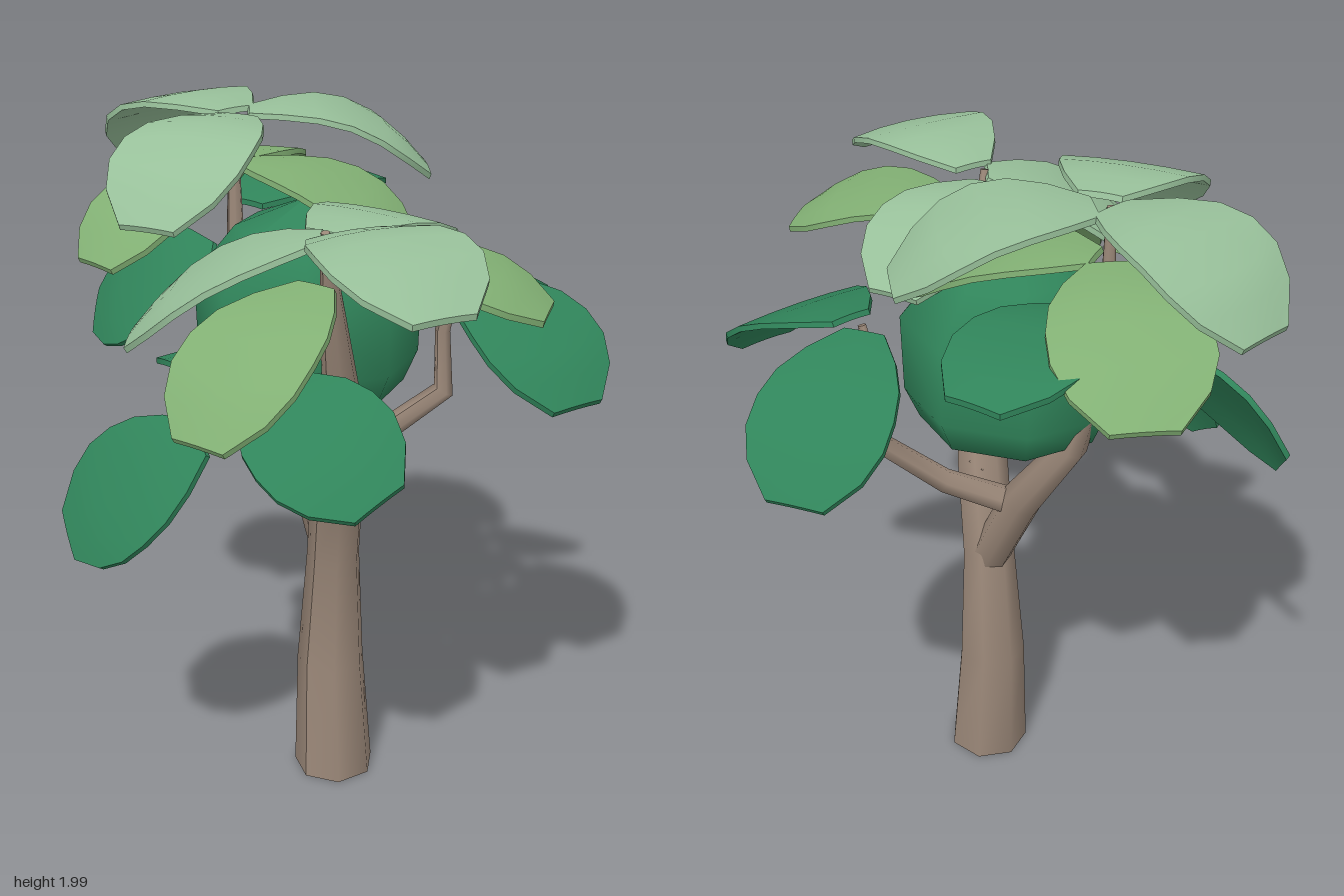
import * as THREE from 'three';

const BARK = 0x9a8778, DARK = 0x30845a, GREEN = 0x82b074, SAGE = 0x98c09a;
const UP = new THREE.Vector3(0, 1, 0);
const V = (p) => new THREE.Vector3(p[0], p[1], p[2]);

const materials = {};
function mat(color) {
  return (materials[color] ??= new THREE.MeshStandardMaterial({ color, side: THREE.DoubleSide }));
}

function add(parent, name, geometry, color) {
  const mesh = new THREE.Mesh(geometry, mat(color));
  mesh.name = name;
  parent.add(mesh);
}

// Tapered limb: rows are [x, y, z, radius] from bottom to tip
function limb(rows, sides = 7) {
  const n = rows.length - 1;
  const geo = new THREE.CylinderGeometry(1, 1, 1, sides, n);
  const pos = geo.attributes.position;
  const frames = rows.map((r, i) => {
    const dir = V(rows[Math.min(i + 1, n)]).sub(V(rows[Math.max(i - 1, 0)])).normalize();
    if (r[1] === 0) dir.copy(UP); // keep the foot flat on the ground
    return new THREE.Quaternion().setFromUnitVectors(UP, dir);
  });
  const p = new THREE.Vector3();
  for (let i = 0; i < pos.count; i++) {
    const k = Math.round((pos.getY(i) + 0.5) * n);
    p.set(pos.getX(i) * rows[k][3], 0, pos.getZ(i) * rows[k][3]);
    p.applyQuaternion(frames[k]).add(V(rows[k]));
    pos.setXYZ(i, p.x, p.y, p.z);
  }
  geo.computeVertexNormals();
  return geo;
}

// Broad rounded leaf: a thin slab narrowed at the ends and arched along its length.
// facing is the direction its upper surface is turned to.
const OUTLINE = [0.3, 0.66, 0.9, 1, 1, 0.83, 0.42];
function leaf(base, tip, width, arch, facing) {
  const steps = OUTLINE.length - 1;
  const geo = new THREE.BoxGeometry(1, 1, 1, 4, 1, steps);
  const pos = geo.attributes.position;
  const a = V(base), along = V(tip).sub(a);
  const side = V(facing).cross(along).normalize();
  const normal = along.clone().cross(side).normalize();
  const p = new THREE.Vector3();
  for (let i = 0; i < pos.count; i++) {
    const t = pos.getZ(i) + 0.5, v = pos.getX(i) * 2;
    const w = OUTLINE[Math.round(t * steps)];
    const bulge = 0.06 * (1 - v * v) * Math.sin(Math.PI * t); // rounds the two ends
    const reach = t + (t > 0.5 ? bulge : -bulge * 0.5);
    const lift = arch * Math.sin(Math.PI * t) - 0.008 * v * v * w + pos.getY(i) * 0.016;
    p.copy(a).addScaledVector(along, reach)
      .addScaledVector(side, v * w * width / 2)
      .addScaledVector(normal, lift);
    pos.setXYZ(i, p.x, p.y, p.z);
  }
  geo.computeVertexNormals();
  return geo;
}

// Leaves of each branch: [base, tip, width, color, arch, facing]
const CLUSTERS = {
  rightCrown: [
    [[-0.36, 1.96, -0.03], [-0.845, 1.78, -0.07], 0.41, SAGE, 0.095],
    [[-0.33, 1.96, -0.05], [0.01, 1.79, -0.43], 0.42, SAGE, 0.085],
    [[-0.29, 1.96, 0.02], [-0.13, 1.76, 0.49], 0.39, SAGE, 0.085],
    [[-0.37, 1.82, -0.04], [-0.74, 1.63, -0.39], 0.4, GREEN, 0.06],
    [[-0.36, 1.82, 0.04], [-0.38, 1.61, 0.475], 0.37, GREEN, 0.06],
    [[-0.32, 1.82, -0.03], [0.15, 1.66, -0.18], 0.36, GREEN, 0.06],
    [[-0.35, 1.69, -0.06], [-0.4, 1.67, -0.6], 0.37, DARK, 0.055],
    [[-0.35, 1.55, 0.08], [-0.8, 1.31, 0.17], 0.37, DARK, 0.04, [-0.1, 0.6, 0.8]],
  ],
  leftCrown: [
    [[0.35, 1.8, 0.28], [0.825, 1.73, 0.42], 0.4, SAGE, 0.08],
    [[0.31, 1.79, 0.29], [-0.05, 1.52, 0.62], 0.4, SAGE, 0.06],
    [[0.26, 1.78, 0.24], [0.18, 1.64, -0.25], 0.36, SAGE, 0.07],
    [[0.31, 1.67, 0.31], [0.37, 1.39, 0.76], 0.38, GREEN, 0.06],
    [[0.36, 1.71, 0.2], [0.77, 1.63, -0.03], 0.39, GREEN, 0.06],
  ],
  frontSpray: [
    [[0.1, 1.26, 0.52], [-0.22, 0.94, 0.73], 0.38, DARK, 0.03, [0, 0.54, 0.84]],
    [[0.16, 1.38, 0.38], [0.61, 1.2, 0.39], 0.38, DARK, 0.045, [0.3, 0.85, 0.45]],
    [[0.08, 1.38, 0.36], [-0.28, 1.31, 0.22], 0.3, DARK, 0.04],
  ],
  backSpray: [
    [[0.2, 1.56, -0.34], [0.06, 1.28, -0.76], 0.39, DARK, 0.05],
    [[0.29, 1.56, -0.3], [0.74, 1.32, -0.22], 0.4, DARK, 0.065],
  ],
};

export function createModel() {
  const tree = new THREE.Group();
  tree.name = 'tree';

  // Trunk runs on into the tallest left limb
  add(tree, 'trunk', limb([
    [0.07, 0, 0, 0.122], [0.055, 0.37, 0, 0.102], [0.075, 0.73, 0.01, 0.079],
    [0.14, 1.0, 0.06, 0.077], [0.24, 1.32, 0.15, 0.052],
    [0.29, 1.63, 0.24, 0.028], [0.31, 1.8, 0.28, 0.012]]), BARK);

  // Side branches
  add(tree, 'rightBranch', limb([
    [0.06, 0.72, 0, 0.06], [-0.09, 1.0, -0.03, 0.06], [-0.26, 1.24, -0.03, 0.045],
    [-0.34, 1.55, 0, 0.028], [-0.34, 1.95, 0, 0.012]]), BARK);
  add(tree, 'backBranch', limb([
    [-0.07, 0.97, -0.02, 0.042], [0.08, 1.06, -0.17, 0.036], [0.21, 1.2, -0.3, 0.032],
    [0.2, 1.38, -0.3, 0.022], [0.25, 1.55, -0.3, 0.012]], 6), BARK);
  add(tree, 'frontBranch', limb([
    [0.13, 0.99, 0.02, 0.045], [0.11, 1.18, 0.27, 0.035],
    [0.07, 1.3, 0.38, 0.022], [0.06, 1.31, 0.46, 0.012]], 6), BARK);

  // Solid heart of the foliage
  const profile = [[0, 1.13], [0.27, 1.25], [0.31, 1.34], [0.315, 1.56], [0.2, 1.7], [0, 1.78]];
  const core = new THREE.LatheGeometry(profile.map((p) => new THREE.Vector2(p[0], p[1])), 8);
  core.translate(-0.03, 0, 0.01);
  add(tree, 'foliageCore', core, DARK);

  // Leaf clusters
  for (const [name, leaves] of Object.entries(CLUSTERS)) {
    const cluster = new THREE.Group();
    cluster.name = name;
    for (const [base, tip, width, color, arch, facing = [0, 1, 0]] of leaves) {
      add(cluster, 'leaf', leaf(base, tip, width, arch, facing), color);
    }
    tree.add(cluster);
  }
  return tree;
}
